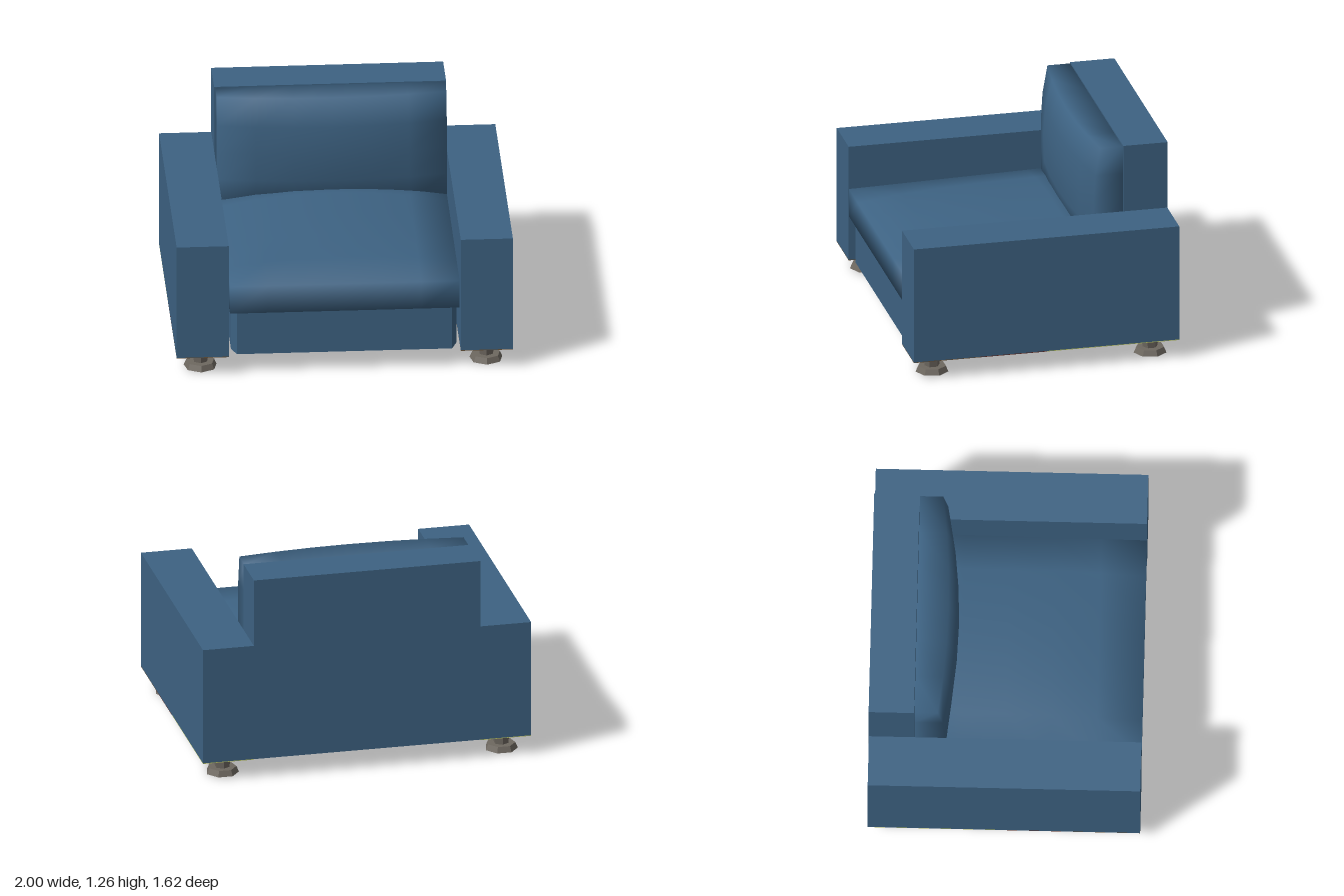
import * as THREE from 'three';
import { mergeVertices } from 'three/addons/utils/BufferGeometryUtils.js';

const mat = (name, color, extra = {}) => new THREE.MeshStandardMaterial({ name, color, ...extra });

// Box given by its minimum and maximum corners
function block(parent, name, material, min, max) {
  const size = max.map((v, i) => v - min[i]);
  const mesh = new THREE.Mesh(new THREE.BoxGeometry(...size), material);
  mesh.position.set(...min.map((v, i) => v + size[i] / 2));
  mesh.name = name;
  parent.add(mesh);
}

// Softly shaded cushion: a box grid whose unit-cube points (-1..1) are mapped by a rule
function cushion(parent, name, material, segments, rule) {
  let geo = new THREE.BoxGeometry(2, 2, 2, ...segments);
  geo.deleteAttribute('normal');
  geo.deleteAttribute('uv');
  geo = mergeVertices(geo);
  const p = geo.attributes.position;
  for (let i = 0; i < p.count; i++) p.setXYZ(i, ...rule(p.getX(i), p.getY(i), p.getZ(i)));
  geo.computeVertexNormals();
  const mesh = new THREE.Mesh(geo, material);
  mesh.name = name;
  parent.add(mesh);
}

export function createModel() {
  const chair = new THREE.Group();
  chair.name = 'armchair';
  const fabric = mat('blue fabric', 0x3d6282);
  const metal = mat('grey metal', 0x6e6860, { flatShading: true });
  const olive = mat('olive underside', 0xc2cc68);
  const green = mat('green underside', 0xa5cc6c);
  const red = mat('dark red underside', 0x602e28);
  const brown = mat('brown underside', 0x68543c);

  // Armrests, underside patches and feet, mirrored
  for (const s of [1, -1]) {
    const side = s > 0 ? 'left' : 'right';
    const part = (name, m, x0, x1, y0, y1, z0, z1) =>
      block(chair, side + name, m, [Math.min(s * x0, s * x1), y0, z0], [Math.max(s * x0, s * x1), y1, z1]);
    part('Armrest', fabric, 0.69, 1, 0.12, 0.842, -0.808, 0.81);
    part('UndersideOlive', olive, 0.69, 1, 0.116, 0.12, -0.808, -0.25);
    part('UndersideOliveOuter', olive, 0.83, 1, 0.116, 0.12, -0.25, 0);
    part('UndersideGreen', green, 0.69, 0.83, 0.116, 0.12, -0.25, 0);
    part('UndersideRed', red, 0.69, 1, 0.116, 0.12, 0, 0.4);
    part('UndersideBrown', brown, 0.69, 1, 0.116, 0.12, 0.4, 0.81);

    for (const z of [0.665, -0.665]) {
      const foot = new THREE.Group();
      foot.name = side + (z > 0 ? 'FrontFoot' : 'BackFoot');
      const disc = new THREE.Mesh(new THREE.CylinderGeometry(0.085, 0.1, 0.035, 7), metal);
      disc.name = 'footDisc';
      disc.position.y = 0.0175;
      const stem = new THREE.Mesh(new THREE.CylinderGeometry(0.056, 0.045, 0.085, 6), metal);
      stem.name = 'footStem';
      stem.position.y = 0.0775;
      foot.add(disc, stem);
      foot.position.set(s * 0.85, 0, z);
      chair.add(foot);
    }
  }

  // Backrest
  block(chair, 'backrest', fabric, [-0.69, 0.12, -0.81], [0.69, 1.26, -0.54]);

  // Seat base with bevelled front corners
  const outline = new THREE.Shape([[-0.67, 0.48], [0.67, 0.48], [0.67, -0.7], [0.64, -0.78], [-0.64, -0.78], [-0.67, -0.7]]
    .map(([x, y]) => new THREE.Vector2(x, y)));
  const base = new THREE.Mesh(new THREE.ExtrudeGeometry(outline, { depth: 0.28, bevelEnabled: false }), fabric);
  base.name = 'seatBase';
  base.rotation.x = -Math.PI / 2;
  base.position.y = 0.12;
  chair.add(base);

  // Seat cushion: crowned top falling towards the front edge
  cushion(chair, 'seatCushion', fabric, [6, 1, 5], (x, y, z) => {
    const crown = (1 - x * x) * (1 - Math.max(0, z + 0.1) ** 2 / 1.21);
    const top = 0.575 + 0.03 * (1 - z) / 2 + 0.075 * crown;
    return [x * 0.683, y > 0 ? top : 0.4, 0.135 + z * 0.675];
  });

  // Back cushion: front face bulges in the middle and leans back at the top
  cushion(chair, 'backCushion', fabric, [6, 4, 1], (x, y, z) => {
    const lean = y > 0 ? 0.05 * y * y : 0;
    const front = -0.36 + 0.07 * (1 - x * x) * (1 - 0.6 * y * y) - lean * (0.4 + 0.4 * x * x);
    return [x * 0.683, 0.91 + y * 0.345, z > 0 ? front : -0.538];
  });

  return chair;
}
